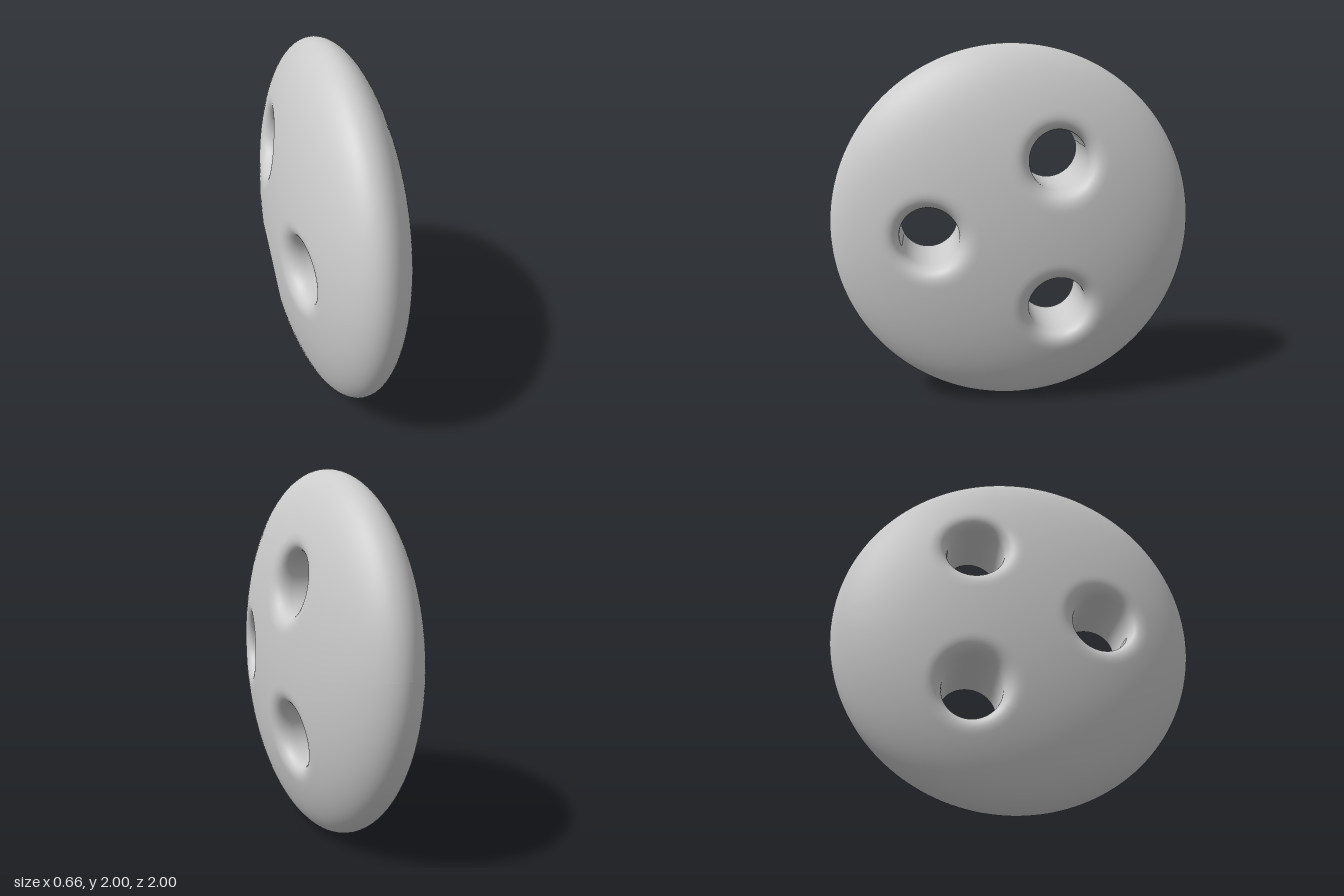
import * as THREE from 'three';
import { mergeGeometries, mergeVertices } from 'three/addons/utils/BufferGeometryUtils.js';

const HALF_THICK = 0.33;  // half thickness of the lens-shaped disc (radius 1)
const HOLE_DIST = 0.46;   // hole centre from disc centre
const HOLE_R = 0.16;      // throat radius
const BLEND = 0.1;        // size of the soft rounding at each hole mouth

const height = (p, q) => HALF_THICK * Math.sqrt(Math.max(0, 1 - p * p - q * q));

// Outline of a 120 degree wedge: out along one edge, round the rim, back along the other
function wedgeOutline() {
  const pts = [], n = 28, m = 56, A = Math.PI / 3;
  const polar = (r, a) => pts.push([r * Math.cos(a), r * Math.sin(a)]);
  for (let i = 0; i < n; i++) polar(Math.sin((i / n) * Math.PI / 2), A);
  for (let i = 0; i < m; i++) polar(1, A - (2 * A * i) / m);
  for (let i = n; i > 0; i--) polar(Math.sin((i / n) * Math.PI / 2), -A);
  return pts;
}

// One side of one wedge: hole wall, rounded mouth, then the face out to the outline
function wedgeFace(side) {
  const outline = wedgeOutline(), cols = outline.length;
  const wall = 6, mouth = 12, face = 26;
  const rows = wall + mouth + face + 1;
  const pos = [], index = [];
  for (let i = 0; i < rows; i++) {
    for (const [bp, bq] of outline) {
      const len = Math.hypot(bp - HOLE_DIST, bq);
      const dp = (bp - HOLE_DIST) / len, dq = bq / len;
      let r = HOLE_R, x;
      if (i > wall + mouth) {
        const s = Math.sin(((i - wall - mouth) / face) * Math.PI / 2);
        r = THREE.MathUtils.lerp(HOLE_R + BLEND, len, s);
      } else if (i > wall) {
        r = HOLE_R + BLEND * ((i - wall) / mouth) ** 2;
      }
      const p = HOLE_DIST + dp * r, q = dq * r;
      x = i === rows - 1 ? height(bp, bq) : height(p, q);
      if (i <= wall) x = (x - BLEND) * (i / wall);
      else if (i <= wall + mouth) x -= BLEND * (1 - (i - wall) / mouth) ** 2;
      pos.push(side * x, q, p);
    }
  }
  for (let i = 0; i < rows - 1; i++) {
    for (let j = 0; j < cols; j++) {
      const k = (j + 1) % cols;
      const a = i * cols + j, b = a + cols, c = (i + 1) * cols + k, d = i * cols + k;
      if (side > 0) index.push(a, b, c, a, c, d);
      else index.push(a, c, b, a, d, c);
    }
  }
  const g = new THREE.BufferGeometry();
  g.setAttribute('position', new THREE.Float32BufferAttribute(pos, 3));
  g.setIndex(index);
  return g;
}

export function createModel() {
  // Three equal wedges, both sides, welded into one smooth skin
  const parts = [];
  for (let k = 0; k < 3; k++) {
    for (const side of [1, -1]) {
      parts.push(wedgeFace(side).rotateX((k * 2 * Math.PI) / 3));
    }
  }
  const geometry = mergeVertices(mergeGeometries(parts), 1e-4);
  geometry.translate(0, 1, 0);
  geometry.computeVertexNormals();

  const disc = new THREE.Mesh(geometry, new THREE.MeshStandardMaterial({ color: 0xcccccc }));
  disc.name = 'discWithThreeHoles';
  const group = new THREE.Group();
  group.name = 'roundedDisc';
  group.add(disc);
  return group;
}
